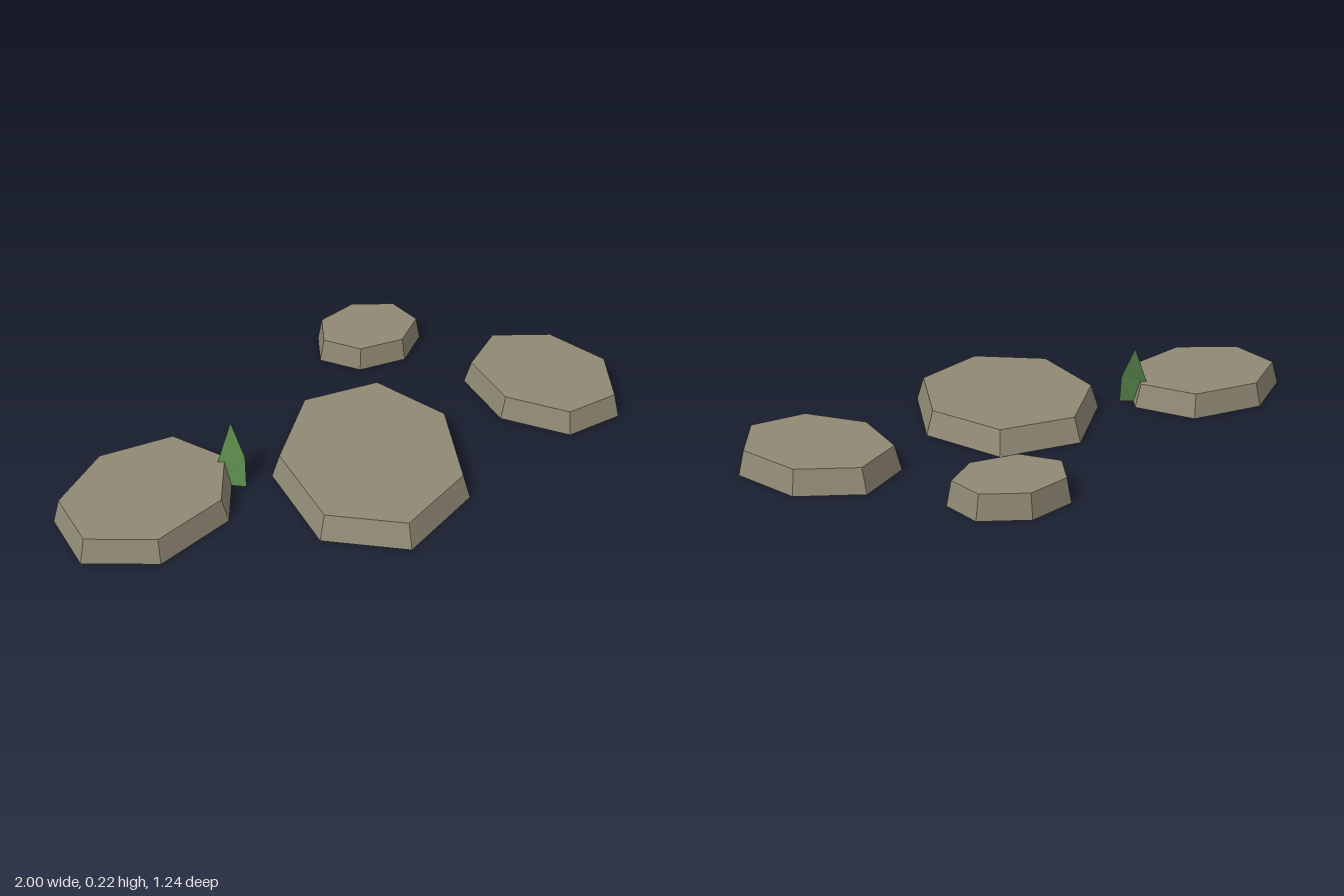
import * as THREE from 'three';

// Flat-faced geometry from a list of [x, y, z] triangle corners
function facets(corners) {
  const g = new THREE.BufferGeometry();
  g.setAttribute('position', new THREE.Float32BufferAttribute(corners.flat(), 3));
  g.computeVertexNormals();
  return g;
}

// Slab with sloping sides; outline is [x, z], clockwise seen from above
function stoneGeometry(outline, height, taper) {
  const n = outline.length;
  const cx = outline.reduce((s, p) => s + p[0], 0) / n;
  const cz = outline.reduce((s, p) => s + p[1], 0) / n;
  const low = outline.map(([x, z]) => [x, 0, z]);
  const high = outline.map(([x, z]) => [cx + (x - cx) * taper, height, cz + (z - cz) * taper]);
  const corners = [];
  for (let i = 0; i < n; i++) {
    const j = (i + 1) % n;
    corners.push(low[j], low[i], high[i], low[j], high[i], high[j]); // side
    corners.push([cx, height, cz], high[j], high[i]); // top
    corners.push([cx, 0, cz], low[i], low[j]); // underside
  }
  return facets(corners);
}

export function createModel() {
  const model = new THREE.Group();
  model.name = 'steppingStones';
  const stone = new THREE.MeshStandardMaterial({ color: 0x8f8874, flatShading: true });
  stone.name = 'stone';
  const grass = new THREE.MeshStandardMaterial({ color: 0x5c8a4c, flatShading: true, side: THREE.DoubleSide });
  grass.name = 'grass';

  // Seven-sided stepping stones
  const stones = {
    largeStone: [[-0.09, -0.15], [0.2, -0.15], [0.35, 0.12], [0.26, 0.46], [-0.015, 0.615], [-0.26, 0.47], [-0.29, 0.12]],
    rightStone: [[-0.81, -0.11], [-0.54, -0.12], [-0.405, 0.06], [-0.49, 0.275], [-0.745, 0.385], [-0.97, 0.29], [-1, 0.07]],
    leftStone: [[0.68, -0.25], [0.89, -0.17], [1, 0.055], [0.92, 0.27], [0.715, 0.3], [0.54, 0.13], [0.52, -0.115]],
    smallStone: [[0.14, -0.56], [0.295, -0.62], [0.45, -0.56], [0.49, -0.425], [0.38, -0.315], [0.205, -0.315], [0.095, -0.425]],
  };
  for (const [name, outline] of Object.entries(stones)) {
    const mesh = new THREE.Mesh(stoneGeometry(outline, 0.082, 0.92), stone);
    mesh.name = name;
    model.add(mesh);
  }

  // Single blade of grass leaning back between two stones
  const baseR = [-0.43, 0, 0.115], baseL = [-0.385, 0, 0.14];
  const midL = [-0.377, 0.1, 0.115], midR = [-0.46, 0.08, 0.082], tip = [-0.405, 0.215, 0.068];
  const blade = new THREE.Mesh(facets([baseR, baseL, midL, baseR, midL, midR, midR, midL, tip]), grass);
  blade.name = 'grassBlade';
  model.add(blade);

  return model;
}
